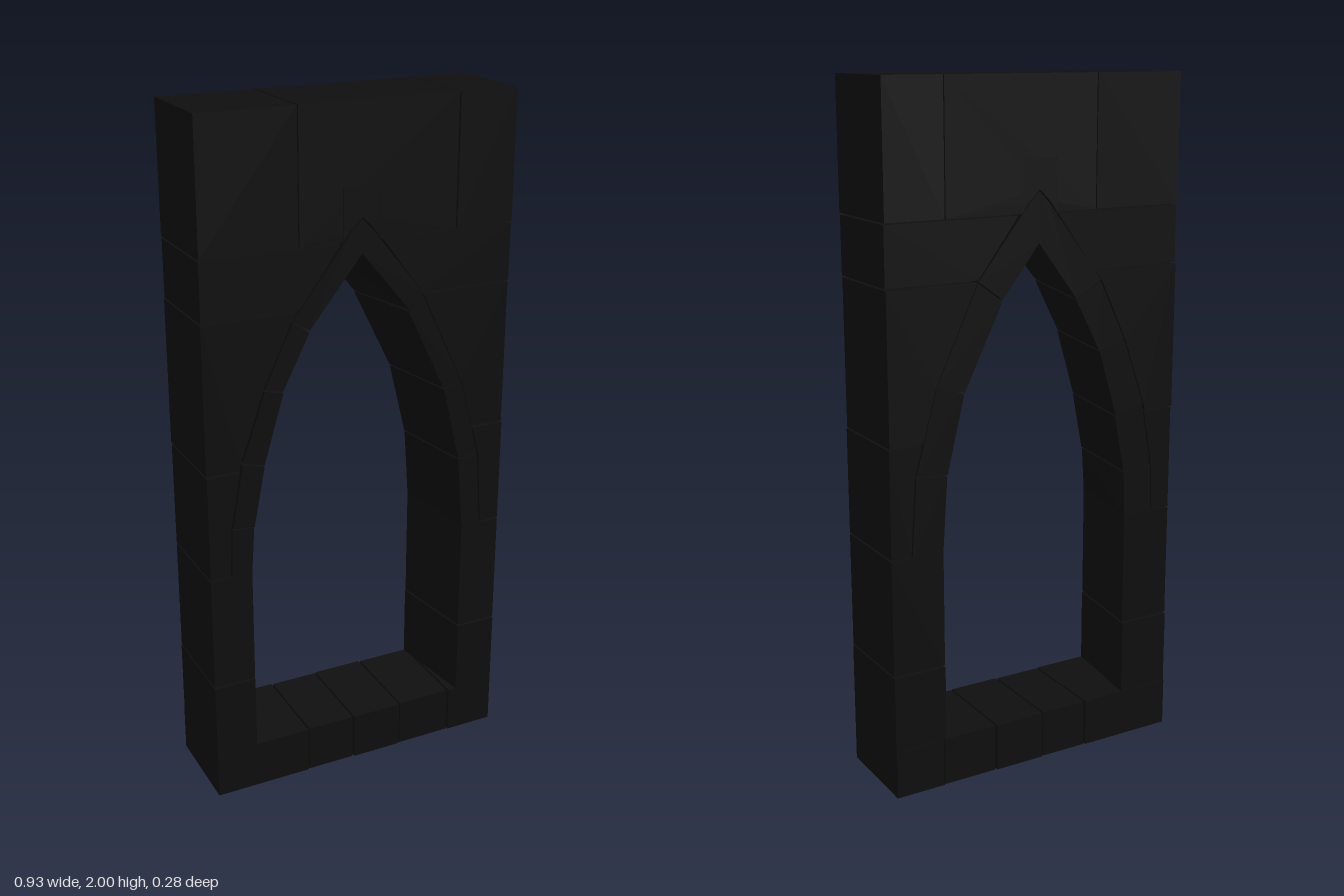
import * as THREE from 'three';

const W = 0.465, D = 0.14, GAP = 0.0025;
const material = new THREE.MeshStandardMaterial({ color: 0x0f0f0f, flatShading: true });

// Small seeded variation so the stones do not sit perfectly flush
let seed = 7;
const vary = () => (seed = (seed * 16807) % 2147483647) / 2147483647;

// A stone lofted from its back outline to its front outline.
// Points are [x, y, dx, dy]; dx, dy splay the corner on the front face.
function stone(name, points, zFront = D - 0.006 * vary(), zBack = -D + 0.007 * vary()) {
  let pts = points.map(([x, y, dx = 0, dy = 0]) => [x, y, dx, dy]);
  const flat = (p) => p.map(([x, y]) => new THREE.Vector2(x, y));
  if (THREE.ShapeUtils.area(flat(pts)) < 0) pts = pts.reverse();
  const back = pts.map(([x, y]) => [x, y, zBack]);
  const front = pts.map(([x, y, dx, dy]) => [x + dx, y + dy, zFront]);
  const pos = [];
  const tri = (a, b, c) => pos.push(...a, ...b, ...c);
  for (const [a, b, c] of THREE.ShapeUtils.triangulateShape(flat(pts), [])) {
    tri(front[a], front[b], front[c]);
    tri(back[c], back[b], back[a]);
  }
  for (let i = 0; i < pts.length; i++) {
    const j = (i + 1) % pts.length;
    tri(back[i], back[j], front[j]);
    tri(back[i], front[j], front[i]);
  }
  const geometry = new THREE.BufferGeometry();
  geometry.setAttribute('position', new THREE.Float32BufferAttribute(pos, 3));
  geometry.computeVertexNormals();
  const mesh = new THREE.Mesh(geometry, material);
  mesh.name = name;
  return mesh;
}

const block = (name, x0, x1, y0, y1, zf, zb) =>
  stone(name, [[x0, y0], [x1, y0], [x1, y1], [x0, y1]], zf, zb);

// Arch joints for each side, from the springing up: distance from centre and height
const sides = [
  {
    name: 'right', s: -1,
    inner: [[0.305, 0.715], [0.3, 0.85], [0.265, 1.025], [0.205, 1.225], [0.125, 1.38]],
    outer: [[0.4, 0.715], [0.395, 0.86], [0.36, 1.05], [0.29, 1.25], [0.205, 1.43]],
  },
  {
    name: 'left', s: 1,
    inner: [[0.305, 0.715], [0.29, 0.93], [0.235, 1.155], [0.115, 1.4]],
    outer: [[0.4, 0.715], [0.385, 0.94], [0.32, 1.18], [0.19, 1.455]],
  },
];

export function createModel() {
  const model = new THREE.Group();
  model.name = 'stoneArchWindow';
  const add = (...args) => model.add(stone(...args));

  // Sill course
  const sill = [-W, -0.17, -0.02, 0.14, 0.312, W];
  for (let i = 0; i < 5; i++) {
    model.add(block('sillStone', sill[i] + (i ? GAP : 0), sill[i + 1] - (i < 4 ? GAP : 0), 0, 0.143,
      D - (i % 2) * 0.003, -D + (i % 2) * 0.003));
  }

  for (const { name, s, inner, outer } of sides) {
    const splay = ([x, y], i) => [s * x, y, s * (i ? 0.031 : 0.035), i * 0.004];
    const out = ([x, y]) => [s * x, y];
    const n = inner.length;

    // Jambs; the upper one carries the first stone of the arch
    add(name + 'LowerJamb', [[s * W, 0.143], splay([0.305, 0.143], 0),
      splay([0.305, 0.37 - GAP], 0), [s * W, 0.37 - GAP]], D, -0.137);
    add(name + 'UpperJamb', [[s * W, 0.37 + GAP], splay([0.305, 0.37 + GAP], 0),
      splay(inner[0], 0), splay(inner[1], 1), out(outer[1]), out(outer[0]), [s * W, 0.712]], 0.138, -0.134);

    // Arch stones
    for (let i = 1; i < n - 1; i++) {
      const lift = ([x, y]) => [x - 0.001, y + 0.004];
      add(name + 'ArchStone', [splay(lift(inner[i]), i), splay(inner[i + 1], i + 1),
        out(outer[i + 1]), out(lift(outer[i]))]);
    }

    // Wall courses fitted around the arch
    const line = [...outer, [0.035, 1.66]];
    const edgeX = (y) => {
      const k = Math.max(1, line.findIndex((p) => p[1] >= y));
      const [a, b] = [line[k - 1], line[k]];
      return THREE.MathUtils.lerp(a[0], b[0], (y - a[1]) / (b[1] - a[1]));
    };
    const courses = [0.715, 1.03, 1.46, 1.63];
    for (let c = 0; c < 3; c++) {
      const y0 = courses[c] + GAP, y1 = courses[c + 1] - GAP;
      const heights = [y0, ...line.map((p) => p[1]).filter((y) => y > y0 && y < y1), y1];
      add(name + 'WallStone', [[s * W, y0], ...heights.map((y) => [s * (edgeX(y) + 0.004), y]),
        [s * W, y1]], [0.138, 0.134, 0.137][c], [-0.134, -0.138, -0.133][c]);
    }
  }

  // Crown of the arch: one chevron stone
  const [r, l] = sides;
  const ri = r.inner.at(-1), ro = r.outer.at(-1), li = l.inner.at(-1), lo = l.outer.at(-1);
  add('archCrown', [[-ri[0], ri[1] + 0.004, -0.031, 0.018], [0, 1.55, 0, 0.045],
    [li[0], li[1] + 0.004, 0.031, 0.016], [lo[0], lo[1] + 0.004], [0.03, 1.66], [0, 1.69],
    [-0.03, 1.66], [-ro[0], ro[1] + 0.004]], 0.138, -0.138);

  // Top course, the middle stone notched over the crown
  const y0 = 1.63 + GAP;
  model.add(block('topStone', -W, -0.185 - GAP, y0, 2, D, -0.137));
  add('topStone', [[-0.185 + GAP, y0], [-0.055, y0], [-0.034, 1.662], [0, 1.695], [0.034, 1.662],
    [0.055, y0], [0.288, y0], [0.288, 2], [-0.185 + GAP, 2]], 0.136, -D);
  model.add(block('topStone', 0.29, W, y0, 2, D, -0.138));

  // Keystone set into the top course, above the crown
  add('keystone', [[-0.057, 1.635], [-0.034, 1.662], [0, 1.695], [0.034, 1.662], [0.057, 1.635],
    [0.057, 1.78], [-0.057, 1.78]], 0.139, -0.1405);
  return model;
}
